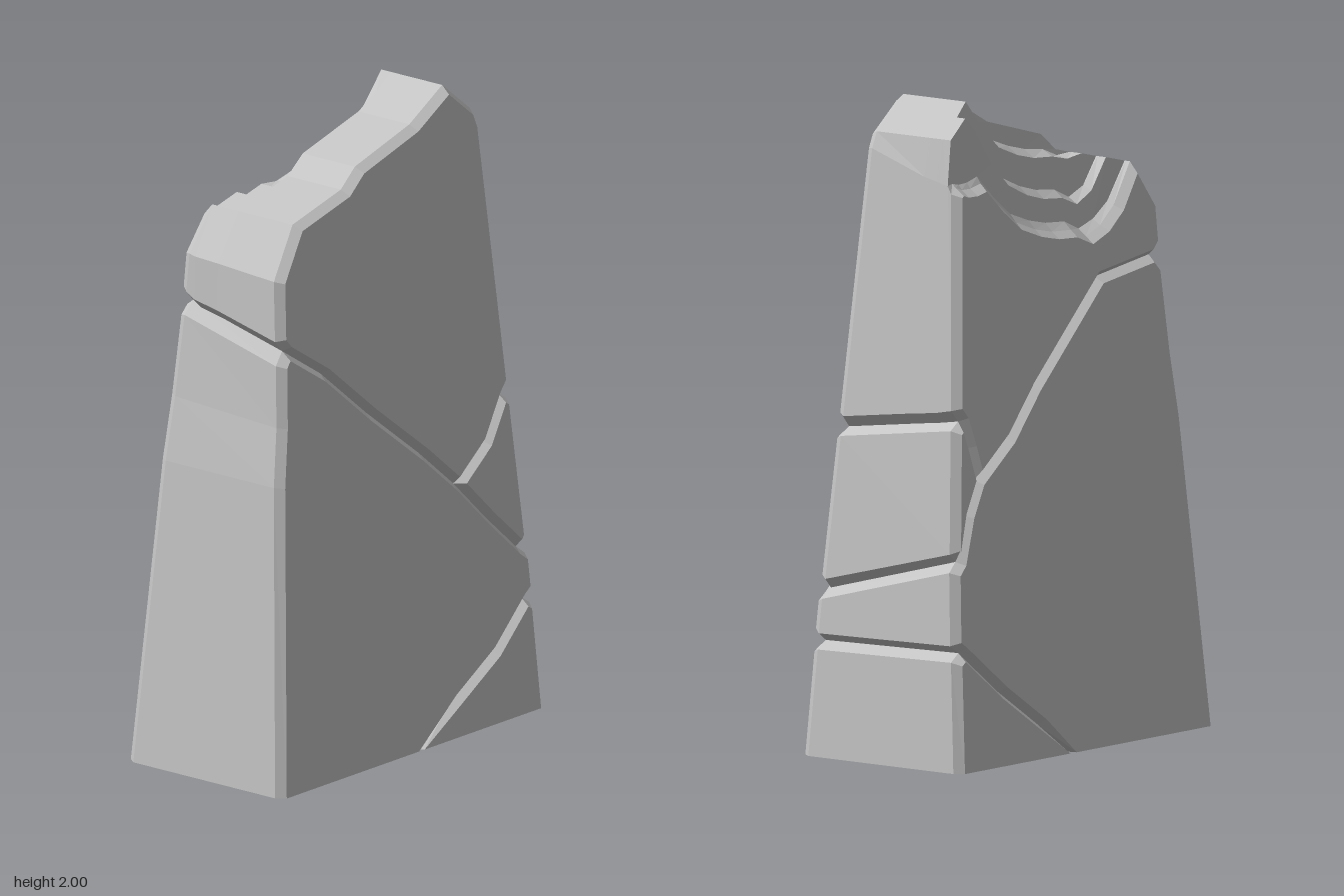
import * as THREE from 'three';

const stone = new THREE.MeshStandardMaterial({ color: 0xc5c5c5 });
stone.name = 'light grey stone';

// The slab thins towards the top
const halfDepth = (y) => 0.308 - 0.07 * y;
const BEVEL_Z = 0.028;
const BEVEL = 0.02;

const lerpRing = (a, b, t) => a.map(([x, y], i) => [x + (b[i][0] - x) * t, y + (b[i][1] - y) * t]);

// Moves every edge of an anticlockwise outline inwards; the base stays on the ground
function inset(ring, d) {
  const n = ring.length;
  return ring.map(([x, y], i) => {
    const p = ring[(i + n - 1) % n], q = ring[(i + 1) % n];
    const a = new THREE.Vector2(p[1] - y, x - p[0]).normalize();
    const b = new THREE.Vector2(y - q[1], q[0] - x).normalize();
    const m = a.clone().add(b);
    const k = d / Math.max(0.5, 1 + a.dot(b));
    return [x + m.x * k, y < 0.001 ? 0 : y + m.y * k];
  });
}

// Lofts matching outlines from front to back and closes both ends
function loft(rings) {
  const pos = [], index = [], n = rings[0].length;
  rings.forEach((r) => r.forEach((p) => pos.push(...p)));
  for (let r = 0; r < rings.length - 1; r++) {
    for (let i = 0; i < n; i++) {
      const a = r * n + i, b = r * n + (i + 1) % n;
      index.push(a, a + n, b, b, a + n, b + n);
    }
  }
  const cap = (r, flip) => {
    const pts = rings[r].map((p) => new THREE.Vector2(p[0], p[1]));
    for (const [a, b, c] of THREE.ShapeUtils.triangulateShape(pts, [])) {
      const o = r * n;
      if (flip) index.push(o + a, o + c, o + b);
      else index.push(o + a, o + b, o + c);
    }
  };
  cap(0, false);
  cap(rings.length - 1, true);
  const g = new THREE.BufferGeometry();
  g.setAttribute('position', new THREE.Float32BufferAttribute(pos, 3));
  g.setIndex(index);
  const flat = g.toNonIndexed();
  flat.computeVertexNormals();
  return flat;
}

// A block of stone with bevelled front and back; neighbouring bevels form the cracks
function block(name, front, back, middle = []) {
  const at = (ring, f) => ring.map(([x, y]) => [x, y, f(y)]);
  const rings = [
    at(inset(front, BEVEL), (y) => halfDepth(y)),
    at(front, (y) => halfDepth(y) - BEVEL_Z),
    ...middle,
    at(back, (y) => BEVEL_Z - halfDepth(y)),
    at(inset(back, BEVEL), (y) => -halfDepth(y)),
  ];
  const mesh = new THREE.Mesh(loft(rings), stone);
  mesh.name = name;
  return mesh;
}

// Crack lines shared by the blocks, on the front and on the back
const mainF = [[0.28, 0.77], [0.13, 0.9], [-0.1, 1.08], [-0.3, 1.25], [-0.47, 1.36]];
const mainB = [[0.44, 0.87], [0.28, 0.98], [0.145, 1.12], [-0.19, 1.41], [-0.455, 1.445]];
const lowF = [[0.03, 0], [0.22, 0.115], [0.41, 0.22], [0.56, 0.35]];
const lowB = [[0.06, 0], [0.2, 0.1], [0.38, 0.22], [0.56, 0.36]];
const midF = [[0.28, 0.77], [0.42, 0.63], [0.55, 0.51]];
const midB = [[0.44, 0.87], [0.5, 0.77], [0.55, 0.635]];
const branchF = [[0.28, 0.77], [0.42, 0.87], [0.505, 1.0]];
const branchB = [[0.44, 0.87], [0.47, 0.97], [0.5, 1.055]];
const rev = (a) => [...a].reverse();

// Broken top edge, sampled from right to left
const crest = [[0.45, 1.9], [0.33, 2], [0.17, 1.915], [-0.09, 1.845], [-0.16, 1.79], [-0.39, 1.735]];
const crestX = [0.45, 0.42, 0.38, 0.33, 0.25, 0.17, 0.08, 0, -0.09, -0.16, -0.23, -0.3, -0.39];
function crestY(x) {
  for (let i = 0; i < crest.length - 1; i++) {
    const [x0, y0] = crest[i], [x1, y1] = crest[i + 1];
    if (x >= x1) return y0 + (y1 - y0) * (x0 - x) / (x0 - x1);
  }
  return crest[crest.length - 1][1];
}

// Crest lowered by a shell-shaped scoop between two ends
function scooped(from, to, dip) {
  return crestX.map((x) => {
    const u = (2 * x - from - to) / (to - from);
    return [x, crestY(x) - (Math.abs(u) < 1 ? dip * Math.sqrt(1 - u * u) : 0)];
  });
}

function upperBlock() {
  const front = (top) => [...rev(mainF), ...branchF.slice(1),
    [0.537, 1.035], [0.515, 1.3], [0.468, 1.85], ...top, [-0.49, 1.58], [-0.5, 1.395]];
  const back = (top) => [...rev(mainB), ...branchB.slice(1),
    [0.53, 1.09], [0.51, 1.32], [0.473, 1.74], ...top, [-0.485, 1.6], [-0.49, 1.48]];
  const plain = crestX.map((x) => [x, crestY(x)]);

  // Stepped scoops eaten into the back of the top
  const steps = [
    { z: 0.055, from: -0.17, to: 0.29, dip: 0.06 },
    { z: 0.1, from: -0.28, to: 0.36, dip: 0.18 },
    { z: 0.138, from: -0.35, to: 0.5, dip: 0.28 },
  ];
  const middle = [];
  let top = plain;
  for (const s of steps) {
    const ring = (t, z) => lerpRing(front(t), back(t), 0.5 + z * 2)
      .map(([x, y]) => [x, y, -Math.min(z, halfDepth(y) - BEVEL_Z)]);
    middle.push(ring(top, s.z));
    middle.push(ring(scooped(s.from, s.to, s.dip), s.z + 0.006));
    top = scooped(s.from, s.to, s.dip + 0.025);
  }
  return block('upperBlock', front(plain), back(top), middle);
}

export function createModel() {
  const model = new THREE.Group();
  model.name = 'crackedStoneSlab';

  model.add(upperBlock());

  model.add(block('largeLowerBlock',
    [[-0.615, 0], ...lowF, [0.597, 0.375], [0.59, 0.48], ...rev(midF), ...mainF.slice(1),
      [-0.502, 1.32], [-0.515, 1.13], [-0.542, 0.95]],
    [[-0.615, 0], ...lowB, [0.597, 0.385], [0.582, 0.605], ...rev(midB), ...mainB.slice(1),
      [-0.492, 1.405], [-0.515, 1.15], [-0.542, 0.95]]));

  model.add(block('sideWedge',
    [...midF, [0.58, 0.54], [0.543, 0.975], ...rev(branchF).slice(0, 2)],
    [...midB, [0.575, 0.66], [0.538, 1.03], ...rev(branchB).slice(0, 2)]));

  model.add(block('cornerBlock',
    [lowF[0], [0.615, 0], [0.597, 0.325], ...rev(lowF).slice(0, 3)],
    [lowB[0], [0.615, 0], [0.597, 0.335], ...rev(lowB).slice(0, 3)]));

  return model;
}
